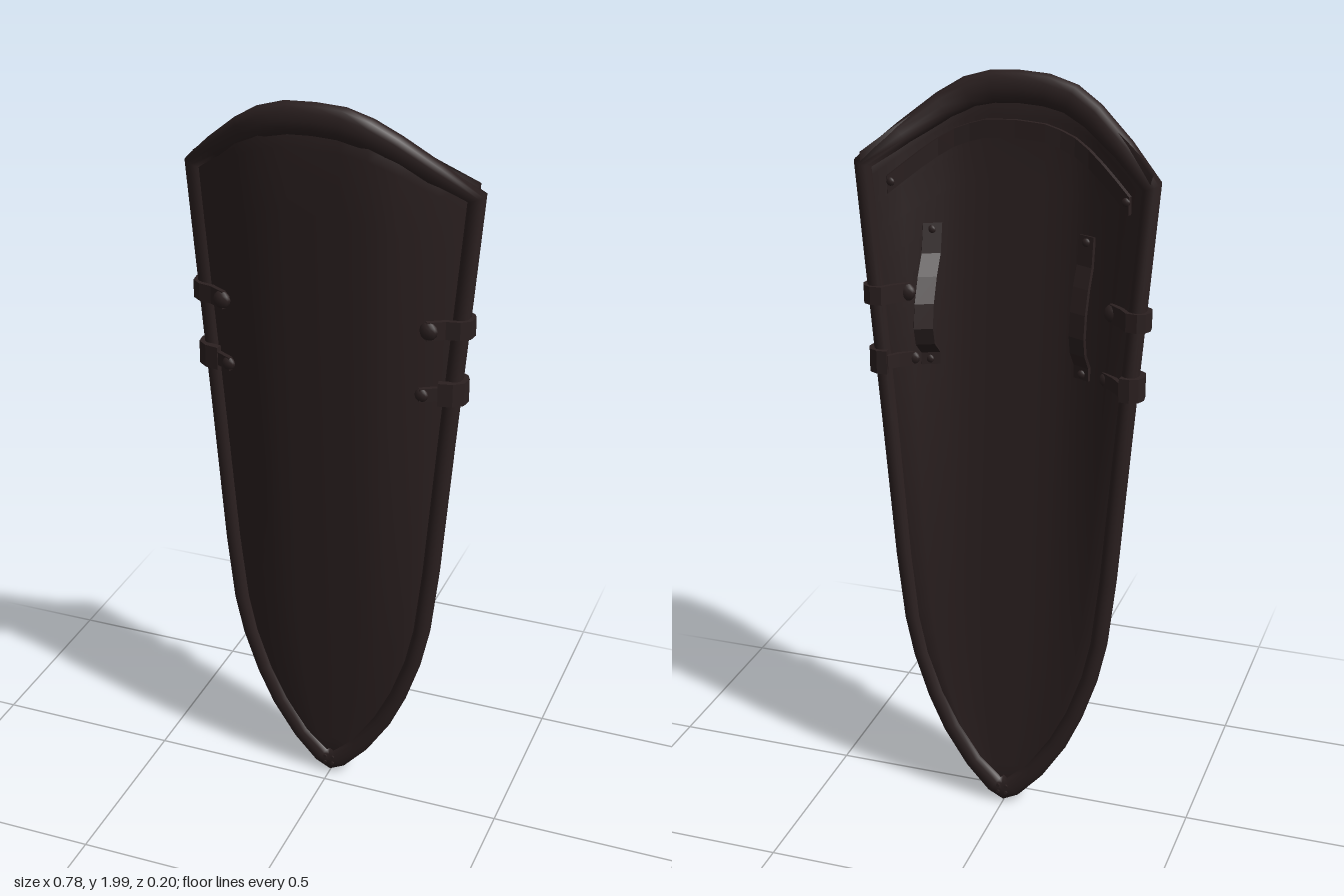
import * as THREE from 'three';

const leather = new THREE.MeshStandardMaterial({ color: 0x2b2020 });
leather.name = 'dark brown leather';
const V = (x, y, z) => new THREE.Vector3(x, y, z);

// Outer outline, one half: [x, y, half width of the rim]
const side = [[0, 0.006, 0.036], [0.045, 0.03, 0.03], [0.108, 0.1, 0.026], [0.172, 0.2, 0.025], [0.217, 0.3, 0.023],
  [0.257, 0.42, 0.022], [0.281, 0.53, 0.022], [0.302, 0.72, 0.022], [0.332, 1.1, 0.022], [0.388, 1.782, 0.022]];
const arch = [[0.3, 1.862, 0.029], [0.21, 1.935, 0.035], [0.145, 1.975, 0.039], [0.075, 1.996, 0.041], [0, 2, 0.041]];
// Bulge of the face against the fraction of the half width
const bulge = [[0, 1], [0.38, 0.98], [0.57, 0.81], [0.8, 0.44], [1, 0]];

function interp(list, key, a, b) {
  for (let i = 1; i < list.length; i++) {
    const p = list[i - 1], q = list[i];
    if (key <= q[a]) return p[b] + (q[b] - p[b]) * (key - p[a]) / (q[a] - p[a]);
  }
  return list[list.length - 1][b];
}
const halfWidth = y => interp(side, y, 1, 0);
const bulgeAt = u => interp(bulge, Math.abs(u), 0, 1);
const topAt = x => interp([...arch].reverse().concat([side[9]]), Math.abs(x), 0, 1);

// Joins closed sections into a solid, capped unless it is a loop
function loft(sections, { loop = false, flat = false } = {}) {
  const n = sections[0].length, m = sections.length, pts = sections.flat(), idx = [];
  for (let i = 0; i < (loop ? m : m - 1); i++) {
    for (let j = 0; j < n; j++) {
      const k = (j + 1) % n, r = ((i + 1) % m) * n;
      idx.push(i * n + j, i * n + k, r + k, i * n + j, r + k, r + j);
    }
  }
  if (!loop) {
    const e = (m - 1) * n;
    for (let a = 0; a < n / 2 - 1; a++) {
      const b = a + 1, c = n - 2 - a, d = n - 1 - a;
      idx.push(b, a, c, a, d, c, e + a, e + b, e + c, e + a, e + c, e + d);
    }
  }
  // Turn the faces outward by the sign of the volume
  let vol = 0;
  for (let i = 0; i < idx.length; i += 3) vol += pts[idx[i]].dot(pts[idx[i + 1]].clone().cross(pts[idx[i + 2]]));
  if (vol < 0) idx.reverse();
  let g = new THREE.BufferGeometry().setFromPoints(pts);
  g.setIndex(idx);
  if (flat) g = g.toNonIndexed();
  g.computeVertexNormals();
  return g;
}

// A flat strap of rectangular section along a path
function strap(path, widthDir, width, thick) {
  const w = widthDir.clone().normalize();
  return loft(path.map((p, i) => {
    const t = path[Math.min(i + 1, path.length - 1)].clone().sub(path[Math.max(i - 1, 0)]);
    const n = t.cross(w).normalize();
    return [[1, 1], [-1, 1], [-1, -1], [1, -1]].map(([a, b]) =>
      p.clone().addScaledVector(w, a * width / 2).addScaledVector(n, b * thick / 2));
  }), { flat: true });
}

// Front face of the board: u across, t from tip to top
function face(u, t, behind = 0) {
  const hw = Math.max(halfWidth(1.78 * t) - 0.02, 0.01);
  return V(u * hw, t * (topAt(u * 0.365) - 0.035 * (1 - Math.abs(u))),
    -0.05 + 0.143 * Math.min(t, 0.93) * bulgeAt(u) - behind);
}
const backZ = (x, y) => {
  const t = y / (topAt(x) - 0.02);
  return face(x / (halfWidth(1.78 * t) - 0.02), t, 0.025).z;
};

function board() {
  const us = [-1, -0.8, -0.57, -0.38, -0.19, 0, 0.19, 0.38, 0.57, 0.8, 1], sections = [];
  for (let i = 0; i <= 24; i++) {
    const t = 0.02 + 0.98 * i / 24;
    sections.push([...us.map(u => face(u, t)), ...[...us].reverse().map(u => face(u, t, 0.025))]);
  }
  return loft(sections);
}

function rim() {
  const half = [...side, ...arch];
  const all = [...half, ...half.slice(1, -1).reverse().map(([x, y, w]) => [-x, y, w])];
  const N = all.length;
  return loft(all.map(([x, y, w], i) => {
    const a = all[(i + N - 1) % N], b = all[(i + 1) % N];
    const e1 = new THREE.Vector2(x - a[0], y - a[1]).normalize();
    const e2 = new THREE.Vector2(b[0] - x, b[1] - y).normalize();
    const d = e1.clone().add(e2).normalize();
    const miter = Math.min(1 / d.dot(e1), 1.5);
    const nx = -d.y * miter, ny = d.x * miter;
    const z = -0.054 + (y > 1.79 ? 0.121 * bulgeAt(x / 0.388) : -0.006 * Math.max(0, 1 - y / 0.5));
    return Array.from({ length: 12 }, (_, k) => {
      const ang = k / 12 * Math.PI * 2, o = w + w * Math.cos(ang), s = Math.sin(ang);
      return V(x + nx * o, y + ny * o, z + 0.027 * Math.sign(s) * Math.abs(s) ** 0.7);
    });
  }), { loop: true });
}

export function createModel() {
  const model = new THREE.Group();
  model.name = 'kiteShield';
  const add = (name, geo, pos) => {
    const mesh = new THREE.Mesh(geo, leather);
    mesh.name = name;
    if (pos) mesh.position.copy(pos);
    model.add(mesh);
    return mesh;
  };
  const stud = (name, x, y, z, r = 0.011) =>
    add(name, new THREE.SphereGeometry(r, 10, 6), V(x, y, z)).scale.set(1, 1, 0.6);

  add('board', board());
  add('rim', rim());

  // Carrying strap below the top edge
  const carry = [];
  for (let i = -8; i <= 8; i++) {
    const x = i / 8 * 0.31, y = topAt(x) - 0.135;
    carry.push(V(x, y, backZ(x, y) - 0.008 - 0.022 * (1 - (i / 8) ** 4)));
  }
  add('carryingStrap', strap(carry, V(0, 1, 0), 0.045, 0.01));

  // Arm and hand straps; the left one stands further out
  const grip = [[1.25, 0.05], [1.285, 0.1], [1.325, 0.75], [1.37, 1], [1.43, 0.92], [1.49, 0.6], [1.54, 0.18], [1.615, 0.05]];
  for (const [s, x, reach, name] of [[1, 0.212, 0.086, 'armStrap'], [-1, 0.187, 0.045, 'handStrap']]) {
    const path = grip.map(([y, k]) => V(s * (x - 0.1 * reach * k), y, backZ(s * x, y) - reach * k));
    add(name, strap(path, V(s, 0, -0.45), 0.048, 0.009));
    for (const y of [1.265, 1.6]) stud(name + 'Stud', s * x, y, backZ(s * x, y) - 0.01);
  }

  // Clasps wrapped over the rim, [distance from the outer edge, z]
  const wrap = [[-0.092, 0.01], [-0.05, -0.014], [-0.015, -0.021], [0.005, -0.036], [0.008, -0.06],
    [0.001, -0.075], [-0.015, -0.083], [-0.04, -0.081], [-0.06, -0.056], [-0.096, -0.025]];
  for (const s of [1, -1]) {
    const endY = topAt(0.3) - 0.135;
    stud('carryingStrapStud', s * 0.3, endY, backZ(0.3, endY) - 0.018);
    for (const [y, buckle] of [[1.44, false], [1.265, true]]) {
      const at = ([dx, z]) => V(s * (halfWidth(y) + dx), y, z);
      add('rimClasp', strap(wrap.map(at), V(0, 1, 0), buckle ? 0.036 : 0.048, 0.012));
      if (buckle) add('claspBuckle', strap(wrap.slice(1, 8).map(at), V(0, 1, 0), 0.062, 0.018));
      const p = at(wrap[0]), q = at(wrap[9]);
      // Rounded tab ends with a stud
      const r = buckle ? 0.018 : 0.024;
      stud('claspFrontStud', p.x + s * 0.006, y, p.z - 0.002, r);
      stud('claspBackStud', q.x + s * 0.006, y, q.z - 0.004, r);
    }
    // Nails through the rim at the tip
    for (const y of [0.04, 0.06]) {
      const nail = new THREE.CylinderGeometry(0.005, 0.005, 0.06, 8).rotateX(Math.PI / 2);
      add('tipNail', nail, V(s * 0.011, y, -0.06));
    }
  }
  return model;
}
